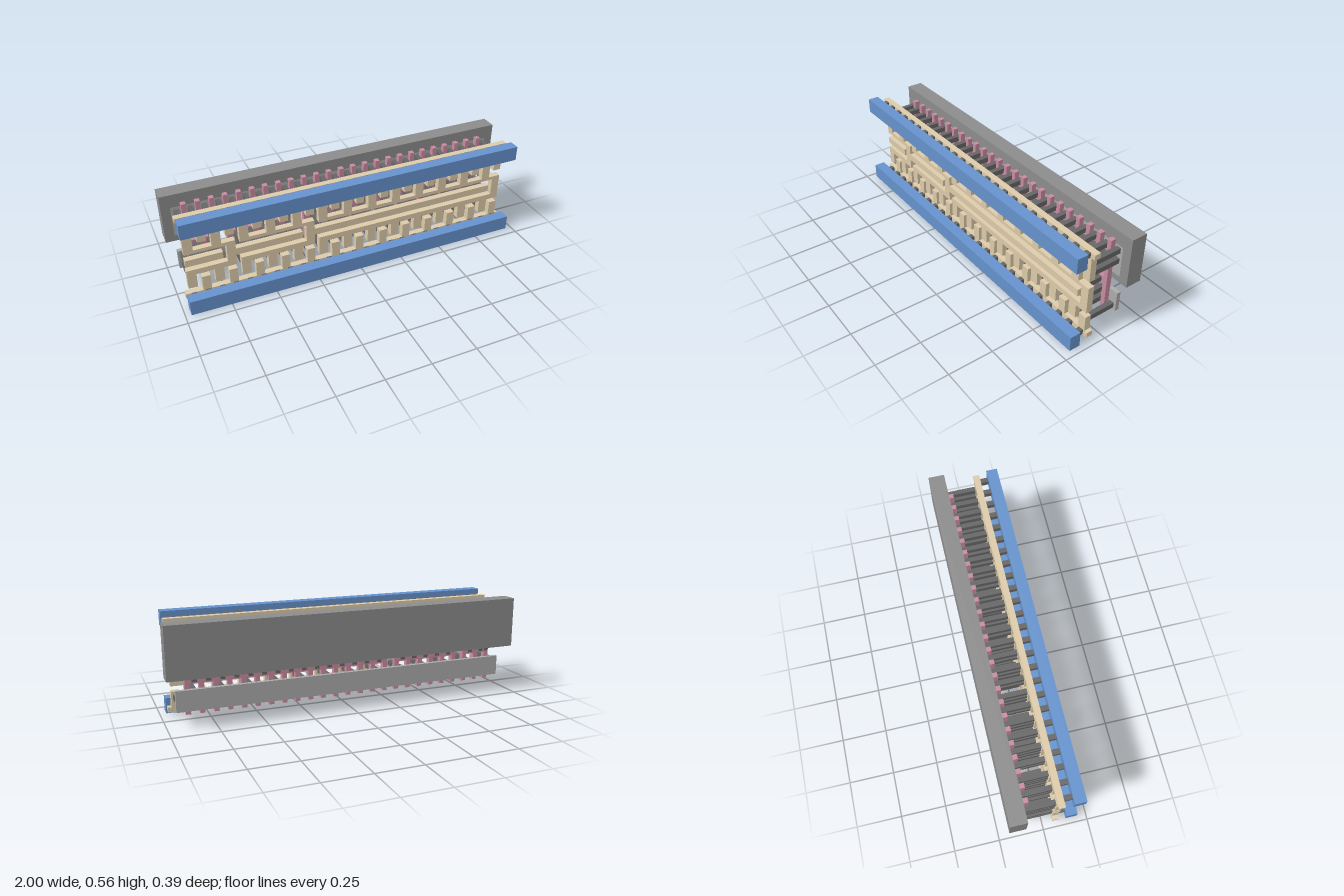
import * as THREE from 'three';

const PITCH = 0.0738;
const col = i => -0.9225 + i * PITCH;            // contact columns 0..25
const gate = i => col(i) + PITCH / 2;            // gate strips 0..24

const mat = c => new THREE.MeshStandardMaterial({ color: c });
const M = {
  well: mat(0x8c8c8c), diffusion: mat(0xababab), contact: mat(0x666666),
  gate: mat(0xc68ba0), metal: mat(0xdccbaa), rail: mat(0x6592cc),
};

// stages: first and last output column, column of the link between the two combs
const STAGES = [[0, 2, 3], [4, 8, 9], [10, 24, 25]];
const METAL_Z = [0.057, 0.092];
const FINGER = 0.025, LINK = 0.024;

export function createModel() {
  const model = new THREE.Group();
  const group = name => {
    const g = new THREE.Group();
    g.name = name;
    model.add(g);
    return g;
  };
  // box given by its limits on each axis
  const box = (parent, name, m, [x0, x1], [y0, y1], [z0, z1]) => {
    const mesh = new THREE.Mesh(new THREE.BoxGeometry(x1 - x0, y1 - y0, z1 - z0), m);
    mesh.position.set((x0 + x1) / 2, (y0 + y1) / 2, (z0 + z1) / 2);
    mesh.name = name;
    parent.add(mesh);
  };
  const around = (c, half) => [c - half, c + half];
  // flat metal outline, extruded through the metal layer
  const plate = (parent, name, pts) => {
    const shape = new THREE.Shape(pts.map(p => new THREE.Vector2(...p)));
    const geo = new THREE.ExtrudeGeometry(shape, { depth: METAL_Z[1] - METAL_Z[0], bevelEnabled: false });
    const mesh = new THREE.Mesh(geo, M.metal);
    mesh.position.z = METAL_Z[0];
    mesh.name = name;
    parent.add(mesh);
  };

  // base slabs at the back
  const base = group('baseSlabs');
  box(base, 'well', M.well, [-1, 1], [0.271, 0.553], [-0.196, -0.1055]);
  box(base, 'upperDiffusion', M.diffusion, [-0.95, 0.95], [0.305, 0.477], [-0.128, -0.1045]);
  box(base, 'lowerDiffusion', M.diffusion, [-0.95, 0.95], [0.085, 0.198], [-0.128, -0.105]);

  // gate strips, joined by a strap within each stage
  const gates = group('gateStrips');
  for (let i = 0; i < 25; i++) {
    box(gates, 'gateStrip', M.gate, around(gate(i), 0.013), [0.062, 0.5], [-0.107, -0.077]);
  }
  STAGES.forEach(([a, , link], s) => {
    const first = s === 0 ? 0 : a - 1;
    box(gates, 'gateStrap', M.gate, [gate(first) - 0.013, gate(link - 1) + 0.013], [0.225, 0.269], [-0.1068, -0.0772]);
  });

  // front rails with the rows of short posts behind them
  const rails = group('rails');
  box(rails, 'lowerRail', M.rail, [-0.968, 0.965], [0, 0.085], [0.135, 0.197]);
  box(rails, 'upperRail', M.rail, [-0.968, 0.965], [0.477, 0.561], [0.135, 0.197]);
  const posts = group('railPosts');
  for (let i = 0; i < 25; i++) {
    const x = around(-0.9225 + i * 0.0769, 0.014);
    box(posts, 'post', M.contact, x, [0.03, 0.058], [0.092, 0.135]);
    box(posts, 'post', M.contact, x, [0.506, 0.534], [0.092, 0.135]);
  }

  // supply bars with teeth at the odd columns
  const supply = group('supplyCombs');
  const toothed = (name, yBack, yBar, yTip) => {
    const pts = [[0.965, yBack], [-0.968, yBack], [-0.968, yBar]];
    for (let i = 1; i < 26; i += 2) {
      const [l, r] = around(col(i), 0.023);
      pts.push([l, yBar], [l, yTip], [r, yTip], [r, yBar]);
    }
    pts.push([0.965, yBar]);
    plate(supply, name, pts);
  };
  toothed('lowerSupplyComb', 0.029, 0.057, 0.143);
  toothed('upperSupplyComb', 0.535, 0.507, 0.366);

  // stage outputs: two combs, a link and a bar feeding the next stage
  const nets = group('stageNets');
  const BAR = [0.23, 0.27];
  const barEnd = s => col(STAGES[s][2]) - LINK - 0.022;
  STAGES.forEach(([a, b, link], s) => {
    const left = col(a) - FINGER, right = col(link) + LINK, inner = col(link) - LINK;
    const pts = [];
    // lower fingers, left to right
    for (let i = a; i <= b; i += 2) {
      const [l, r] = around(col(i), FINGER);
      if (i > a) pts.push([l, 0.172]);
      pts.push([l, 0.09], [r, 0.09], [r, 0.172]);
    }
    pts.push([right, 0.172]);
    if (s < 2) {
      const e = barEnd(s + 1);
      pts.push([right, BAR[0]], [e, BAR[0]], [e, BAR[1]], [right, BAR[1]]);
    }
    pts.push([right, 0.325]);
    // upper fingers, right to left
    for (let i = b; i >= a; i -= 2) {
      const [l, r] = around(col(i), FINGER);
      pts.push([r, 0.325], [r, 0.475], [l, 0.475]);
      if (i > a) pts.push([l, 0.325]);
    }
    pts.push([left, 0.305], [inner, 0.305], [inner, 0.203], [left, 0.203]);
    plate(nets, 'stageNet', pts);
  });
  box(nets, 'inputBar', M.metal, [col(0) - FINGER, barEnd(0)], BAR, METAL_Z);

  // long contacts from metal down to the slabs
  const contacts = group('contacts');
  const contact = (x, y, zEnd) =>
    box(contacts, 'contact', M.contact, around(x, 0.0135), around(y, 0.0145), [zEnd, METAL_Z[0]]);
  for (let i = 0; i < 26; i++) {
    const rows = i % 2 ? [0.113, 0.394, 0.454] : [0.113, 0.174, 0.328, 0.388, 0.448];
    rows.forEach(y => contact(col(i), y, -0.105));
  }
  // contacts onto the gate straps
  STAGES.forEach(([a, , link], s) => {
    for (let i = s === 0 ? 0 : a; i < link; i++) contact(col(i) + (i === 0 ? PITCH / 2 : 0), 0.246, -0.1075);
  });
  return model;
}
